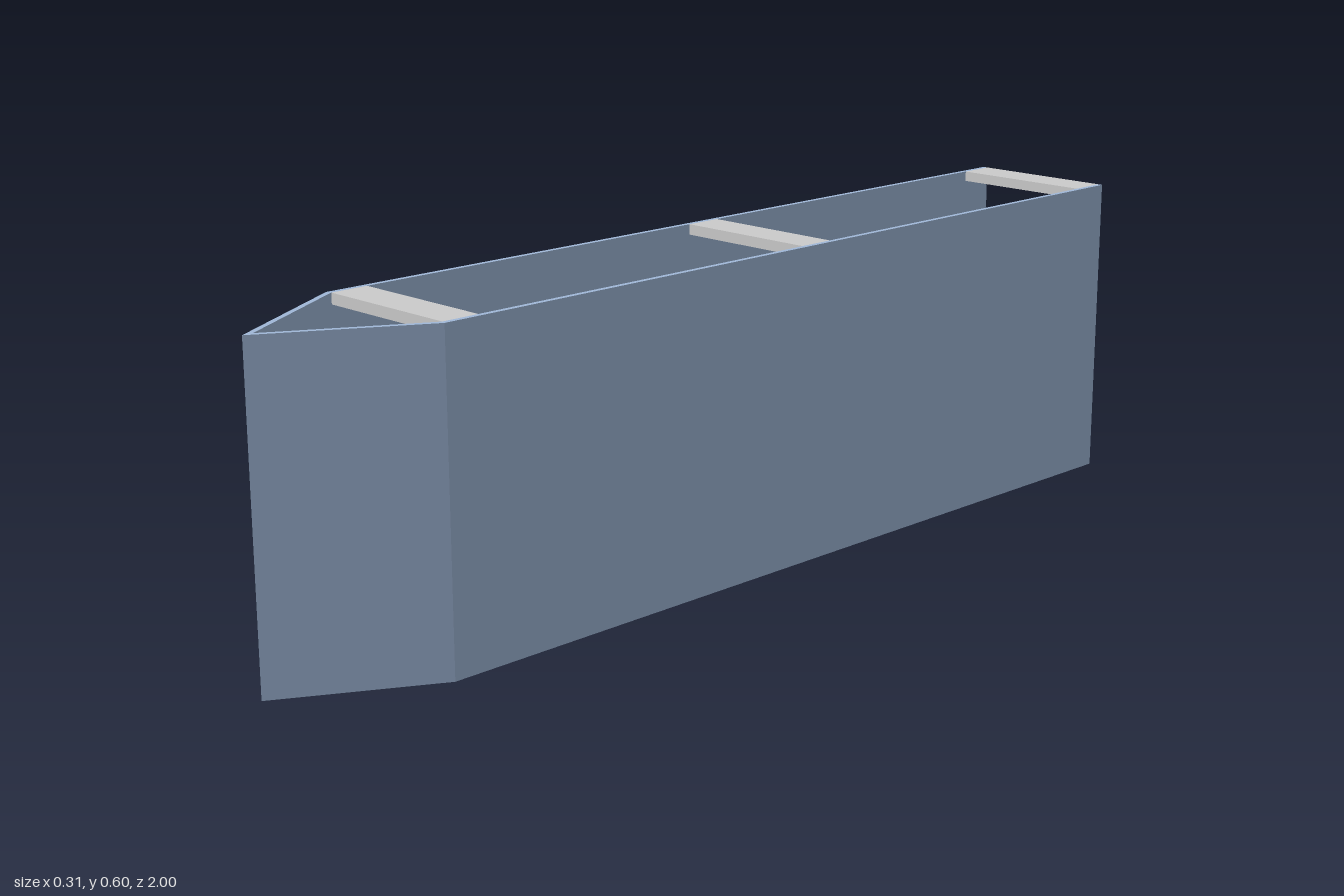
import * as THREE from 'three';

export function createModel() {
  const group = new THREE.Group();
  const blue = new THREE.MeshStandardMaterial({ color: 0xa0b8d8, flatShading: true });
  const grey = new THREE.MeshStandardMaterial({ color: 0xcccccc, flatShading: true });

  const height = 0.6, half = 0.155, wall = 0.01;
  const inner = half - wall, shoulder = 0.73;

  // Thin wall: two long sides joined by a pointed nose, open at the back
  const plan = [
    [-half, -1], [-half, shoulder], [0, 1], [half, shoulder], [half, -1],
    [inner, -1], [inner, shoulder - 0.003], [0, 0.98], [-inner, shoulder - 0.003], [-inner, -1],
  ];
  const shape = new THREE.Shape(plan.map(([x, z]) => new THREE.Vector2(x, -z)));
  const wallGeometry = new THREE.ExtrudeGeometry(shape, { depth: height, bevelEnabled: false });
  wallGeometry.rotateX(-Math.PI / 2);
  const shell = new THREE.Mesh(wallGeometry, blue);
  shell.name = 'pointedWall';
  group.add(shell);

  // Cross slats flush with the top edge
  const slatDepth = 0.073, slatHeight = 0.02;
  const slatGeometry = new THREE.BoxGeometry(inner * 2, slatHeight, slatDepth);
  [['backSlat', -1 + slatDepth / 2], ['middleSlat', -0.139], ['frontSlat', 0.69]].forEach(([name, z]) => {
    const slat = new THREE.Mesh(slatGeometry, grey);
    slat.name = name;
    slat.position.set(0, height - slatHeight / 2, z);
    group.add(slat);
  });

  return group;
}
